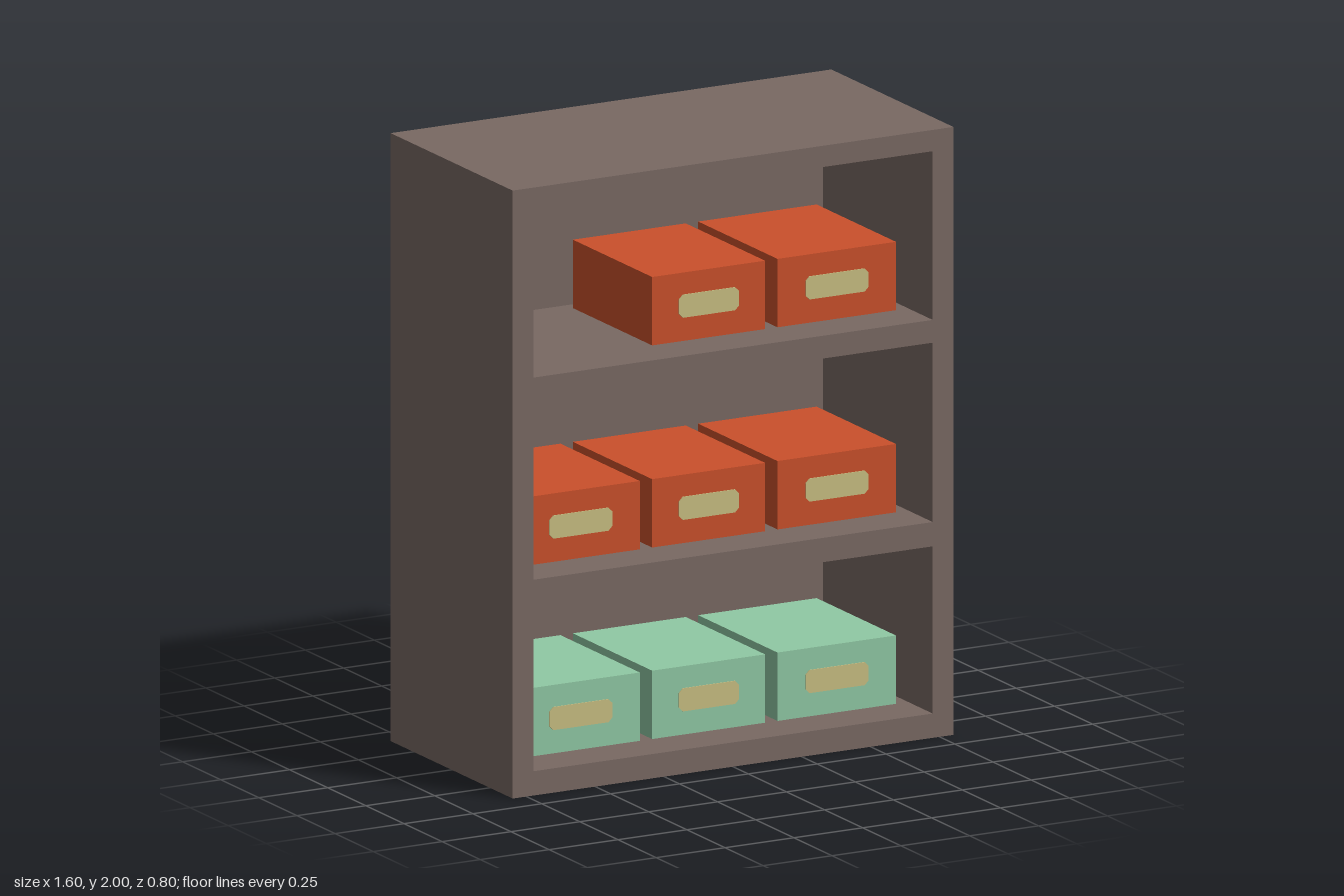
import * as THREE from 'three';

const material = (name, color) => {
  const m = new THREE.MeshStandardMaterial({ color });
  m.name = name;
  return m;
};

// Traces a rectangle, optionally with cut corners
function rectangle(path, x0, y0, x1, y1, cut = 0) {
  path.moveTo(x0 + cut, y0);
  path.lineTo(x1 - cut, y0);
  if (cut) path.lineTo(x1, y0 + cut);
  path.lineTo(x1, y1 - cut);
  if (cut) path.lineTo(x1 - cut, y1);
  path.lineTo(x0 + cut, y1);
  if (cut) path.lineTo(x0, y1 - cut);
  path.lineTo(x0, y0 + cut);
  path.closePath();
  return path;
}

export function createModel() {
  const model = new THREE.Group();
  model.name = 'shelfWithBoxes';

  const wood = material('brownWood', 0x796963);
  const orange = material('orangeBox', 0xca502b);
  const green = material('greenBox', 0x90c9a4);
  const cream = material('creamLabel', 0xc9bf82);

  const add = (parent, name, geometry, mat, x, y, z) => {
    const mesh = new THREE.Mesh(geometry, mat);
    mesh.name = name;
    mesh.position.set(x, y, z);
    parent.add(mesh);
  };

  // Each compartment: floor, ceiling, box colour and the columns it fills
  const rows = [
    { floor: 0.08, ceiling: 0.63, mat: green, columns: [0, 1, 2] },
    { floor: 0.71, ceiling: 1.3, mat: orange, columns: [0, 1, 2] },
    { floor: 1.375, ceiling: 1.93, mat: orange, columns: [1, 2] },
  ];
  const columns = [[-0.68, -0.25], [-0.205, 0.205], [0.25, 0.68]];

  // Cabinet: frame with three openings, closed by a back panel
  const cabinet = new THREE.Group();
  cabinet.name = 'cabinet';
  model.add(cabinet);
  const outline = rectangle(new THREE.Shape(), -0.8, 0, 0.8, 2);
  for (const { floor, ceiling } of rows) {
    outline.holes.push(rectangle(new THREE.Path(), -0.725, floor, 0.725, ceiling));
  }
  const frame = new THREE.ExtrudeGeometry(outline, { depth: 0.72, bevelEnabled: false });
  add(cabinet, 'frame', frame, wood, 0, 0, -0.32);
  add(cabinet, 'backPanel', new THREE.BoxGeometry(1.6, 2, 0.08), wood, 0, 1, -0.36);

  // Storage boxes, each with a thin label on its front
  const boxHeight = 0.225, boxFront = 0.24, boxBack = -0.28;
  for (const { floor, mat, columns: filled } of rows) {
    for (const c of filled) {
      const [x0, x1] = columns[c];
      const x = (x0 + x1) / 2;
      const box = new THREE.Group();
      box.name = 'storageBox';
      model.add(box);
      add(box, 'boxBody', new THREE.BoxGeometry(x1 - x0, boxHeight, boxFront - boxBack), mat,
        x, floor + boxHeight / 2, (boxFront + boxBack) / 2);
      const half = (x1 - x0) * 0.265;
      const label = rectangle(new THREE.Shape(), -half, -0.038, half, 0.038, 0.014);
      add(box, 'label', new THREE.ExtrudeGeometry(label, { depth: 0.003, bevelEnabled: false }), cream,
        x, floor + 0.115, boxFront);
    }
  }
  return model;
}
